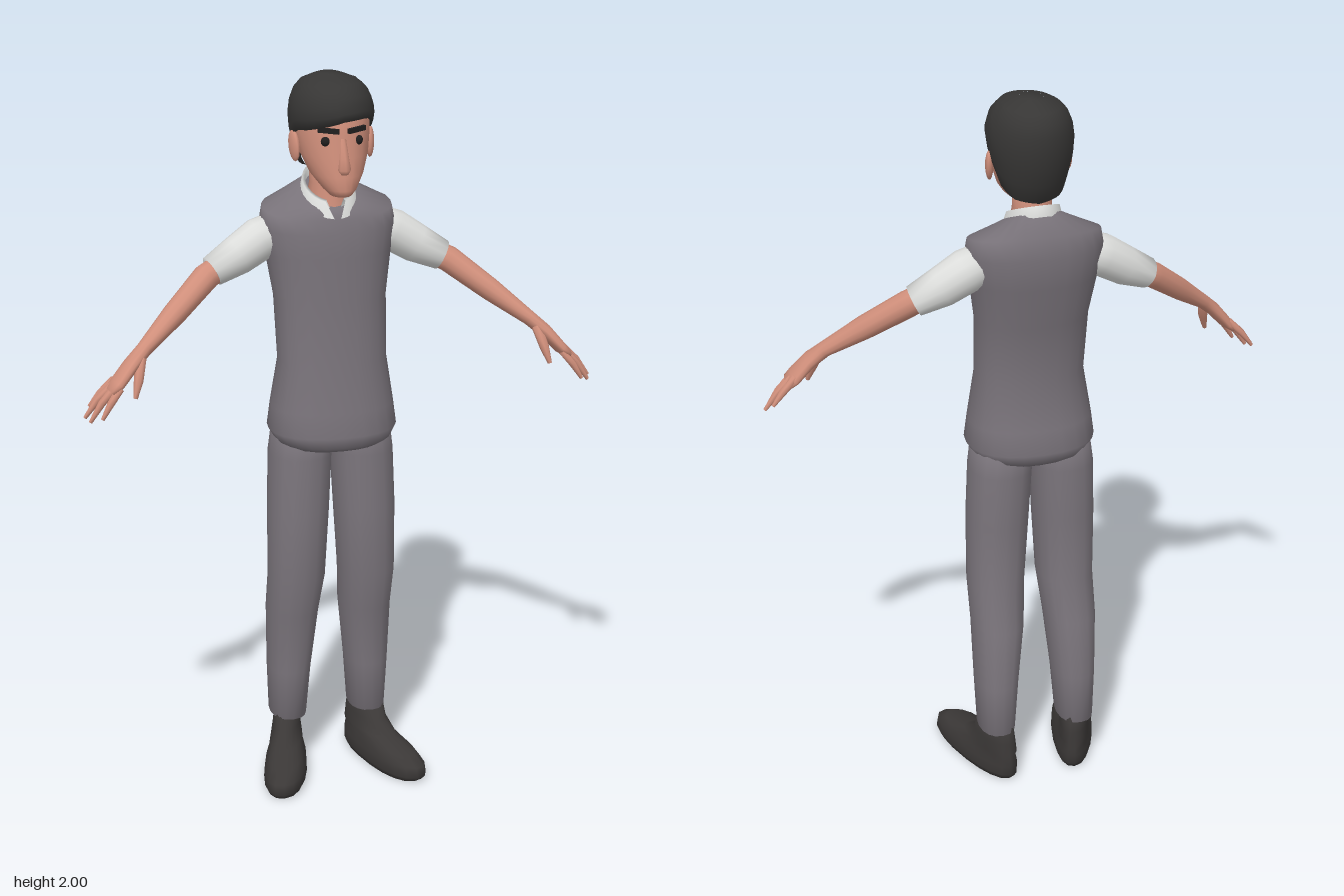
import * as THREE from 'three';

const mat = (name, color, side = THREE.FrontSide) =>
  Object.assign(new THREE.MeshStandardMaterial({ color, side }), { name });

// Skin a list of point rows into a smooth surface
function surface(rows, { closed = true, caps = true } = {}) {
  const n = rows[0].length, pos = rows.flat().flatMap(p => [p.x, p.y, p.z]), idx = [];
  for (let i = 0; i < rows.length - 1; i++) {
    for (let j = 0; j < (closed ? n : n - 1); j++) {
      const a = i * n + j, b = i * n + (j + 1) % n;
      idx.push(a, b, a + n, b, b + n, a + n);
    }
  }
  if (closed && caps) {
    [0, rows.length - 1].forEach((r, end) => {
      const c = rows[r].reduce((s, p) => s.add(p), new THREE.Vector3()).divideScalar(n);
      const k = pos.length / 3;
      pos.push(c.x, c.y, c.z);
      for (let j = 0; j < n; j++) {
        const a = r * n + j, b = r * n + (j + 1) % n;
        if (end) idx.push(a, b, k); else idx.push(b, a, k);
      }
    });
  }
  const g = new THREE.BufferGeometry();
  g.setAttribute('position', new THREE.Float32BufferAttribute(pos, 3));
  g.setIndex(idx);
  g.computeVertexNormals();
  return g;
}

// One rounded point at angle a (0 = front, toward +x)
function ringPoint(a, [y, cx, hw, zf, zb, tilt = 0], power = 2) {
  const bend = v => Math.sign(v) * Math.abs(v) ** (2 / power);
  const dz = bend(Math.cos(a)) * (zf - zb) / 2;
  return new THREE.Vector3(cx + hw * bend(Math.sin(a)), y - tilt * dz, (zf + zb) / 2 + dz);
}

// Upright loft through rings [y, centreX, halfWidth, zFront, zBack, tilt]
const loft = (rings, n = 16, power = 2) => surface(rings.map(r =>
  Array.from({ length: n }, (_, j) => ringPoint(j / n * Math.PI * 2, r, power))));

// Limb swept through stations [x, y, z, radiusUp, radiusZ]
function limb(stations, n = 10) {
  const P = stations.map(s => new THREE.Vector3(s[0], s[1], s[2]));
  return surface(P.map((p, i) => {
    const d = P[Math.min(i + 1, P.length - 1)].clone().sub(P[Math.max(i - 1, 0)]).normalize();
    const up = new THREE.Vector3(0, 0, 1).cross(d).normalize();
    const side = d.clone().cross(up);
    return Array.from({ length: n }, (_, j) => {
      const a = j / n * Math.PI * 2;
      return p.clone().addScaledVector(up, stations[i][3] * Math.cos(a))
        .addScaledVector(side, stations[i][4] * Math.sin(a));
    });
  }));
}

function mirrored(geo) {
  const g = geo.clone().scale(-1, 1, 1), ix = g.index.array;
  for (let i = 0; i < ix.length; i += 3) [ix[i], ix[i + 1]] = [ix[i + 1], ix[i]];
  g.computeVertexNormals();
  return g;
}

// Piecewise linear lookup; rows start with the key
function lookup(table, t) {
  let i = 0;
  while (i < table.length - 2 && t > table[i + 1][0]) i++;
  const k = THREE.MathUtils.clamp((t - table[i][0]) / (table[i + 1][0] - table[i][0]), 0, 1);
  return table[i].map((v, c) => v + (table[i + 1][c] - v) * k);
}

export function createModel() {
  const model = new THREE.Group();
  model.name = 'standingMan';
  const skin = mat('skin', 0xd08f7b), hairMat = mat('hair', 0x373635);
  const vestMat = mat('vest', 0x787279), trouserMat = mat('trousers', 0x7c767d);
  const shirt = mat('shirt', 0xdcdddb, THREE.DoubleSide);
  const shoeMat = mat('shoe', 0x3b3837), dark = mat('eyesAndBrows', 0x211f1f);

  const add = (name, geo, material, parent = model) => {
    const m = new THREE.Mesh(geo, material);
    m.name = name;
    parent.add(m);
  };
  const pair = (name, geo, material) => {
    add('left' + name, geo, material);
    add('right' + name, mirrored(geo), material);
  };

  // Vest with a gathered hem and a sloping neckline
  add('vest', loft([
    [0.99, 0, 0.135, 0.095, -0.13], [1.005, 0, 0.16, 0.115, -0.152],
    [1.035, 0, 0.178, 0.12, -0.162], [1.1, 0, 0.17, 0.108, -0.15],
    [1.23, 0, 0.15, 0.085, -0.12], [1.4, 0, 0.154, 0.066, -0.146],
    [1.52, 0, 0.172, 0.06, -0.176], [1.595, 0, 0.186, 0.052, -0.185, 0.1],
    [1.642, 0, 0.178, 0.04, -0.172, 0.2], [1.682, 0, 0.075, 0.03, -0.135, 0.45],
  ], 24, 2.3), vestMat);

  // Neck, head and nose
  add('neck', loft([
    [1.6, 0, 0.066, 0.03, -0.12, 0.3], [1.65, 0, 0.06, 0.02, -0.115, 0.3],
    [1.71, 0, 0.052, 0.005, -0.1], [1.8, 0, 0.055, 0.0, -0.1],
  ]), skin);
  add('head', loft([
    [1.698, 0, 0.028, 0.108, 0.035], [1.715, 0, 0.045, 0.118, 0.0],
    [1.75, 0, 0.07, 0.114, -0.06], [1.8, 0, 0.09, 0.107, -0.11],
    [1.86, 0, 0.1, 0.097, -0.14], [1.93, 0, 0.098, 0.088, -0.14],
    [1.965, 0, 0.06, 0.05, -0.1],
  ], 20), skin);
  add('nose', loft([
    [1.758, 0, 0.012, 0.116, 0.09], [1.77, 0, 0.019, 0.124, 0.085],
    [1.8, 0, 0.015, 0.118, 0.08], [1.85, 0, 0.009, 0.102, 0.08],
  ], 8), skin);

  const ear = new THREE.SphereGeometry(1, 10, 8).scale(0.011, 0.042, 0.024)
    .rotateX(-0.2).rotateY(-0.3).translate(0.104, 1.817, -0.012);
  pair('Ear', ear, skin);
  pair('Eye', new THREE.SphereGeometry(0.013, 10, 8).translate(0.044, 1.843, 0.082), dark);
  pair('Brow', new THREE.BoxGeometry(0.056, 0.013, 0.009)
    .rotateZ(0.06).rotateY(0.45).translate(0.038, 1.872, 0.09), dark);

  // Hair cap: outline by height, lower edge by angle around the head
  const outline = [
    [1.73, 0, 0.072, 0.0, -0.11], [1.78, 0, 0.09, 0.05, -0.136],
    [1.85, 0, 0.108, 0.092, -0.158], [1.91, 0, 0.114, 0.114, -0.165],
    [1.955, 0, 0.101, 0.1, -0.156], [1.985, 0, 0.075, 0.065, -0.13],
    [2.0, 0, 0.03, 0.0, -0.08],
  ];
  const edge = [[0, 1.895], [0.6, 1.888], [1.2, 1.872], [1.5, 1.85], [1.75, 1.775],
    [2.2, 1.748], [Math.PI, 1.735]];
  const cols = 36, hairRows = [];
  for (let i = -1; i <= 8; i++) {
    hairRows.push(Array.from({ length: cols }, (_, j) => {
      const a = (j / cols * 2 - 1) * Math.PI;
      const low = lookup(edge, Math.abs(a))[1] + (Math.cos(a) > 0 ? 0.012 * Math.sin(2 * a) : 0);
      const y = low + (2 - low) * Math.sin(Math.max(i, 0) / 8 * Math.PI / 2);
      const p = ringPoint(a, lookup(outline, y));
      if (i < 0) { p.x *= 0.84; p.z = -0.03 + (p.z + 0.03) * 0.84; }
      return p;
    }));
  }
  add('hair', surface(hairRows, { caps: false }), hairMat);
  add('hairCrown', loft([[1.99, 0, 0.03, 0, -0.08], [2.0, 0, 0.03, 0, -0.08]], 16), hairMat);

  // Shirt collar, open at the throat
  const collarRings = [
    [1.668, 0, 0.077, 0.046, -0.146, 0.45], [1.703, 0, 0.068, 0.03, -0.14, 0.45],
    [1.703, 0, 0.06, 0.02, -0.13, 0.45], [1.665, 0, 0.062, 0.022, -0.13, 0.45],
  ];
  add('collar', surface(collarRings.map((r, i) => Array.from({ length: 25 }, (_, j) => {
    const gap = i === 0 || i === 3 ? 0.12 : 0.4;
    return ringPoint(gap + j / 24 * (Math.PI * 2 - 2 * gap), r);
  })), { closed: false }), shirt);

  // Sleeves, arms and hands
  pair('Sleeve', limb([
    [0.13, 1.582, -0.072, 0.05, 0.06], [0.185, 1.557, -0.07, 0.058, 0.062],
    [0.25, 1.517, -0.062, 0.054, 0.055], [0.322, 1.481, -0.05, 0.042, 0.044],
    [0.318, 1.483, -0.05, 0.034, 0.036],
  ], 14), shirt);
  pair('Arm', limb([
    [0.28, 1.503, -0.057, 0.034, 0.036], [0.34, 1.47, -0.042, 0.036, 0.038],
    [0.44, 1.393, 0.02, 0.031, 0.036], [0.535, 1.32, 0.077, 0.02, 0.026],
    [0.575, 1.285, 0.095, 0.019, 0.036], [0.615, 1.24, 0.106, 0.017, 0.044],
    [0.635, 1.222, 0.109, 0.012, 0.04],
  ], 12), skin);
  const fingers = {
    IndexFinger: [[0.612, 1.236, 0.136], [0.64, 1.2, 0.146], [0.664, 1.16, 0.152]],
    MiddleFinger: [[0.622, 1.236, 0.117], [0.66, 1.195, 0.122], [0.692, 1.147, 0.126]],
    RingFinger: [[0.625, 1.238, 0.097], [0.667, 1.198, 0.098], [0.702, 1.152, 0.1]],
    LittleFinger: [[0.618, 1.245, 0.078], [0.655, 1.21, 0.074], [0.685, 1.174, 0.071]],
    Thumb: [[0.55, 1.302, 0.1], [0.562, 1.25, 0.128], [0.574, 1.207, 0.142]],
  };
  for (const [name, pts] of Object.entries(fingers)) {
    const radii = name === 'Thumb' ? [0.016, 0.013, 0.006] : [0.011, 0.01, 0.005];
    pair(name, limb(pts.map((p, i) => [...p, radii[i], radii[i]]), 7), skin);
  }

  // Trouser legs
  pair('TrouserLeg', loft([
    [0.15, 0.117, 0.051, -0.005, -0.152], [0.3, 0.114, 0.06, 0.008, -0.153],
    [0.48, 0.106, 0.072, 0.027, -0.147], [0.6, 0.101, 0.078, 0.062, -0.117],
    [0.8, 0.095, 0.084, 0.068, -0.125], [0.96, 0.088, 0.085, 0.068, -0.135],
    [1.06, 0.08, 0.08, 0.068, -0.13],
  ], 16, 2.3), trouserMat);

  // Shoes, turned out toward the toes
  const shoe = loft([
    [0.004, 0, 0.056, 0.175, -0.15], [0.02, 0, 0.062, 0.19, -0.16],
    [0.048, 0, 0.06, 0.185, -0.162], [0.07, 0, 0.052, 0.145, -0.16],
    [0.085, 0, 0.047, 0.05, -0.157], [0.12, 0, 0.041, -0.005, -0.152],
    [0.17, 0, 0.036, -0.02, -0.145],
  ], 18, 2.3);
  const sp = shoe.attributes.position;
  for (let i = 0; i < sp.count; i++) {
    const z = sp.getZ(i);
    const wide = sp.getY(i) < 0.08 ? 1 + 0.6 * z : 1;
    sp.setXYZ(i, sp.getX(i) * wide + 0.142 + 0.28 * z, Math.max(0, sp.getY(i) - 0.004), z);
  }
  shoe.computeVertexNormals();
  pair('Shoe', shoe, shoeMat);

  return model;
}
